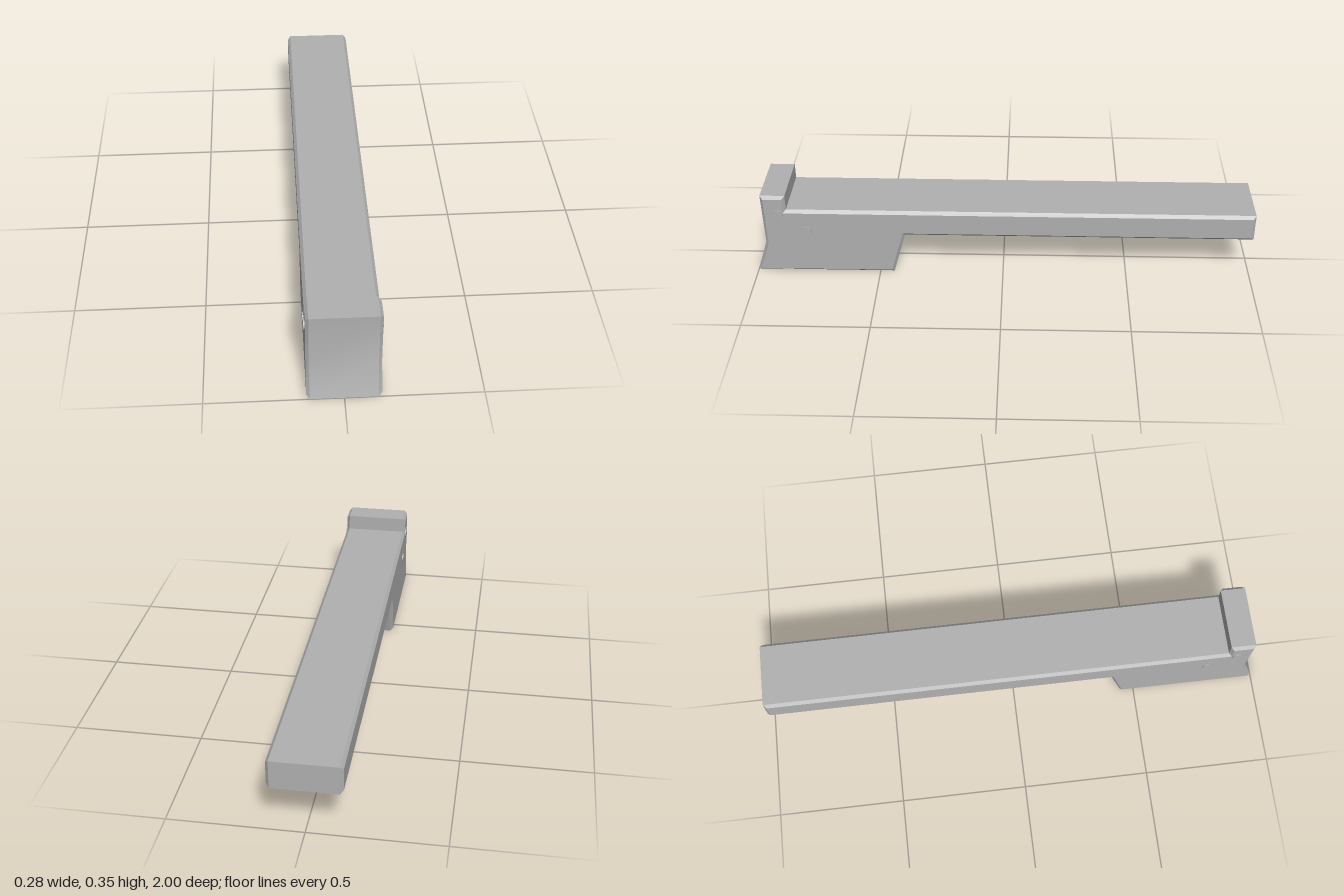
import * as THREE from 'three';
import { toCreasedNormals } from 'three/addons/utils/BufferGeometryUtils.js';

const HALF_WIDTH = 0.135;
const CHAMFER = 0.012;

export function createModel() {
  const model = new THREE.Group();
  const grey = new THREE.MeshStandardMaterial({ color: 0xb0b0b0 });
  grey.name = 'grey';

  // Side profile as (z, y): sloped foot, long bar and raised front lip
  const profile = [
    [1, 0], [0.957, 0.135], [0.962, 0.353], [0.863, 0.353], [0.863, 0.29],
    [-1, 0.29], [-1, 0.178], [0.393, 0.178], [0.443, 0],
  ].map(([z, y]) => new THREE.Vector2(z, y));

  // Body: the profile extruded across the width with chamfered sides
  const extrusion = new THREE.ExtrudeGeometry(new THREE.Shape(profile), {
    depth: 2 * (HALF_WIDTH - CHAMFER),
    bevelThickness: CHAMFER,
    bevelSize: CHAMFER,
    bevelOffset: -CHAMFER,
    bevelSegments: 1,
  });
  extrusion.translate(0, 0, CHAMFER - HALF_WIDTH);
  extrusion.rotateY(-Math.PI / 2);
  // The bend in the front face stays smooth, all other edges sharp
  const body = new THREE.Mesh(toCreasedNormals(extrusion, 0.4), grey);
  body.name = 'body';
  model.add(body);

  // Pins running through the body, standing slightly proud of both sides
  const addPin = (name, z, y, radius) => {
    const geometry = new THREE.CylinderGeometry(radius, radius, 0.28, 32);
    geometry.rotateZ(Math.PI / 2);
    const pin = new THREE.Mesh(geometry, grey);
    pin.name = name;
    pin.position.set(0, y, z);
    model.add(pin);
  };
  addPin('upperPin', 0.898, 0.272, 0.022);
  addPin('lowerPin', 0.785, 0.196, 0.018);

  return model;
}
